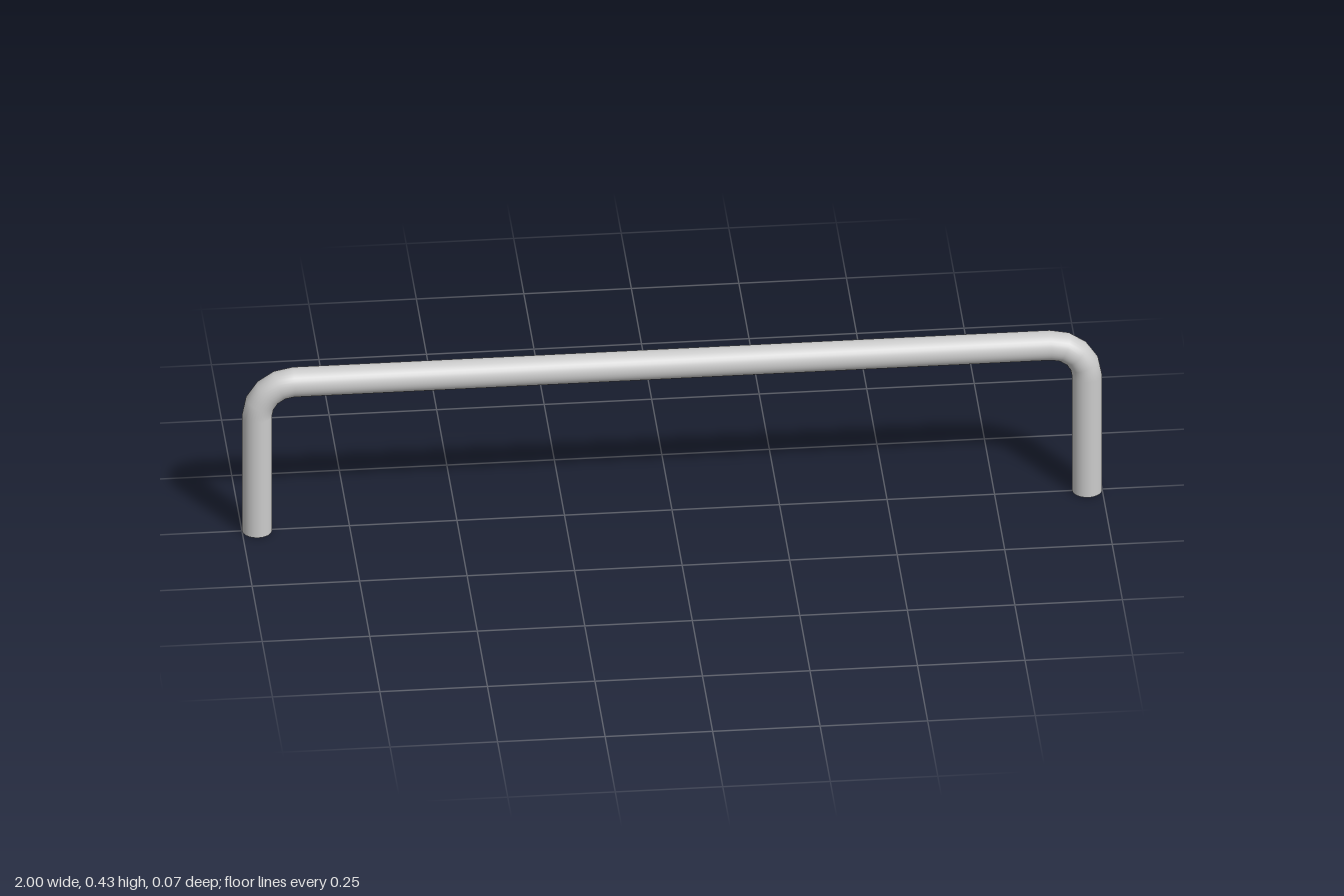
import * as THREE from 'three';

export function createModel() {
  const group = new THREE.Group();
  const r = 0.035, bend = 0.085, height = 0.43, steps = 4;
  const cx = 1 - r - bend, cy = height - r - bend;

  // Centre line rings: foot, left-hand bend, right-hand bend, foot
  const rings = [{ x: -cx - bend, y: 0, a: 0 }];
  for (const side of [-1, 1]) {
    for (let i = 0; i <= steps; i++) {
      const a = (i / steps + (side > 0 ? 1 : 0)) * Math.PI / 2;
      rings.push({ x: side * cx - bend * Math.cos(a), y: cy + bend * Math.sin(a), a });
    }
  }
  rings.push({ x: cx + bend, y: 0, a: Math.PI });

  // Capped rod whose rows are moved and turned onto the rings
  const rows = rings.length - 1;
  const geometry = new THREE.CylinderGeometry(r, r, 1, 32, rows);
  const pos = geometry.attributes.position, nor = geometry.attributes.normal;
  const axis = new THREE.Vector3(0, 0, 1), v = new THREE.Vector3();
  for (let i = 0; i < pos.count; i++) {
    const ring = rings[Math.round((pos.getY(i) + 0.5) * rows)];
    v.set(pos.getX(i), 0, pos.getZ(i)).applyAxisAngle(axis, -ring.a);
    pos.setXYZ(i, v.x + ring.x, v.y + ring.y, v.z);
    v.fromBufferAttribute(nor, i).applyAxisAngle(axis, -ring.a);
    nor.setXYZ(i, v.x, v.y, v.z);
  }

  const handle = new THREE.Mesh(geometry, new THREE.MeshStandardMaterial({ color: 0xcccccc }));
  handle.name = 'barHandle';
  group.add(handle);
  return group;
}
